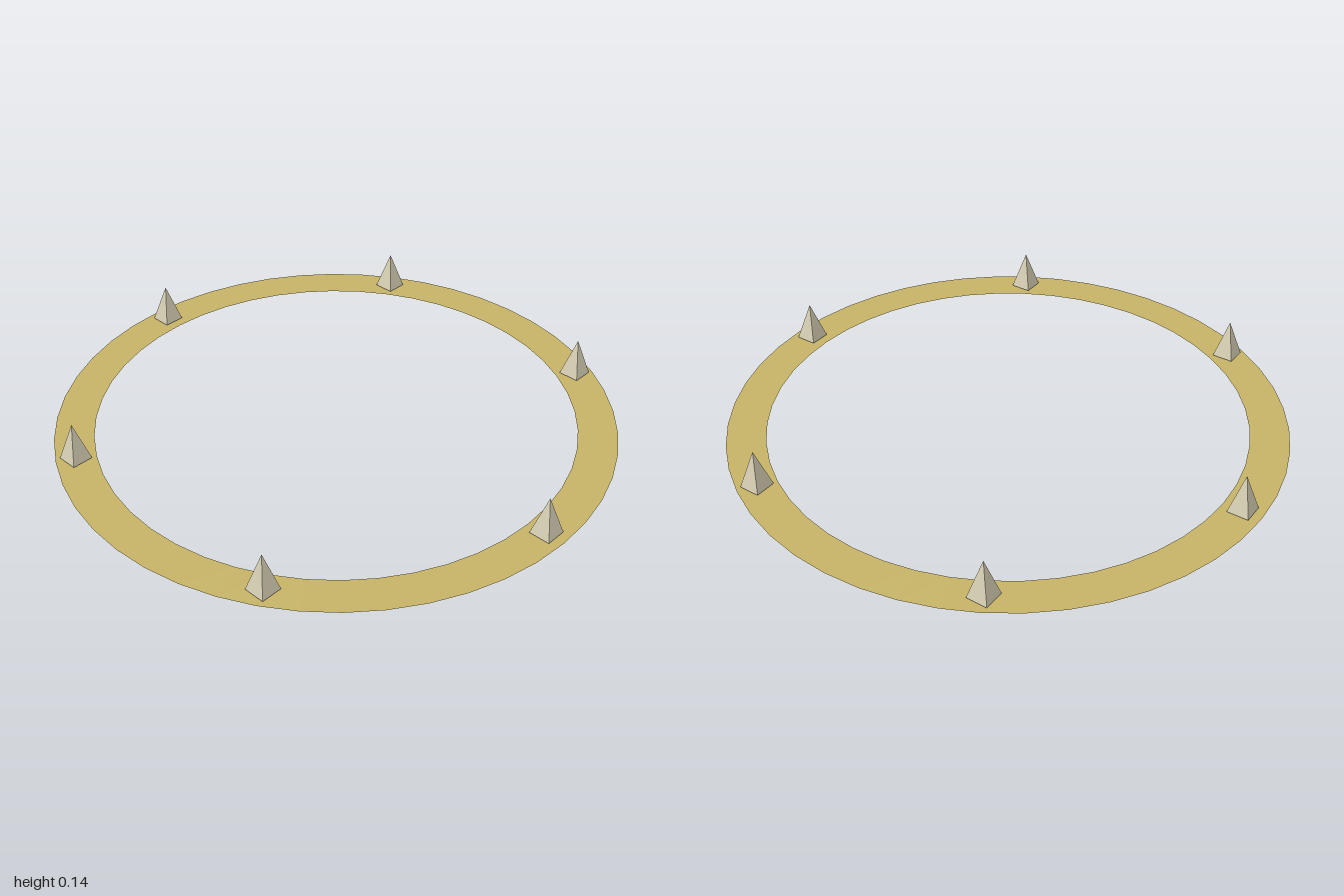
import * as THREE from 'three';

export function createModel() {
  const model = new THREE.Group();
  const gold = new THREE.MeshStandardMaterial({ color: 0xc8b568, side: THREE.DoubleSide });
  gold.name = 'gold';
  const bone = new THREE.MeshStandardMaterial({ color: 0xd2cbb0, flatShading: true });
  bone.name = 'bone';

  // Flat band lying on the ground
  const inner = 0.86, outer = 1;
  const ring = new THREE.Mesh(new THREE.RingGeometry(inner, outer, 48).rotateX(-Math.PI / 2), gold);
  ring.name = 'ring';
  model.add(ring);

  // Six four-sided spikes, all square to the axes, just above the band
  const height = 0.14, base = 0.005, middle = (inner + outer) / 2;
  const spikeGeometry = new THREE.ConeGeometry(0.055, height, 4)
    .rotateY(Math.PI / 4)
    .translate(0, base + height / 2, 0);
  for (let i = 0; i < 6; i++) {
    const angle = (i / 6) * Math.PI * 2;
    const spike = new THREE.Mesh(spikeGeometry, bone);
    spike.name = `spike${i + 1}`;
    spike.position.set(Math.cos(angle) * middle, 0, Math.sin(angle) * middle);
    model.add(spike);
  }
  return model;
}
